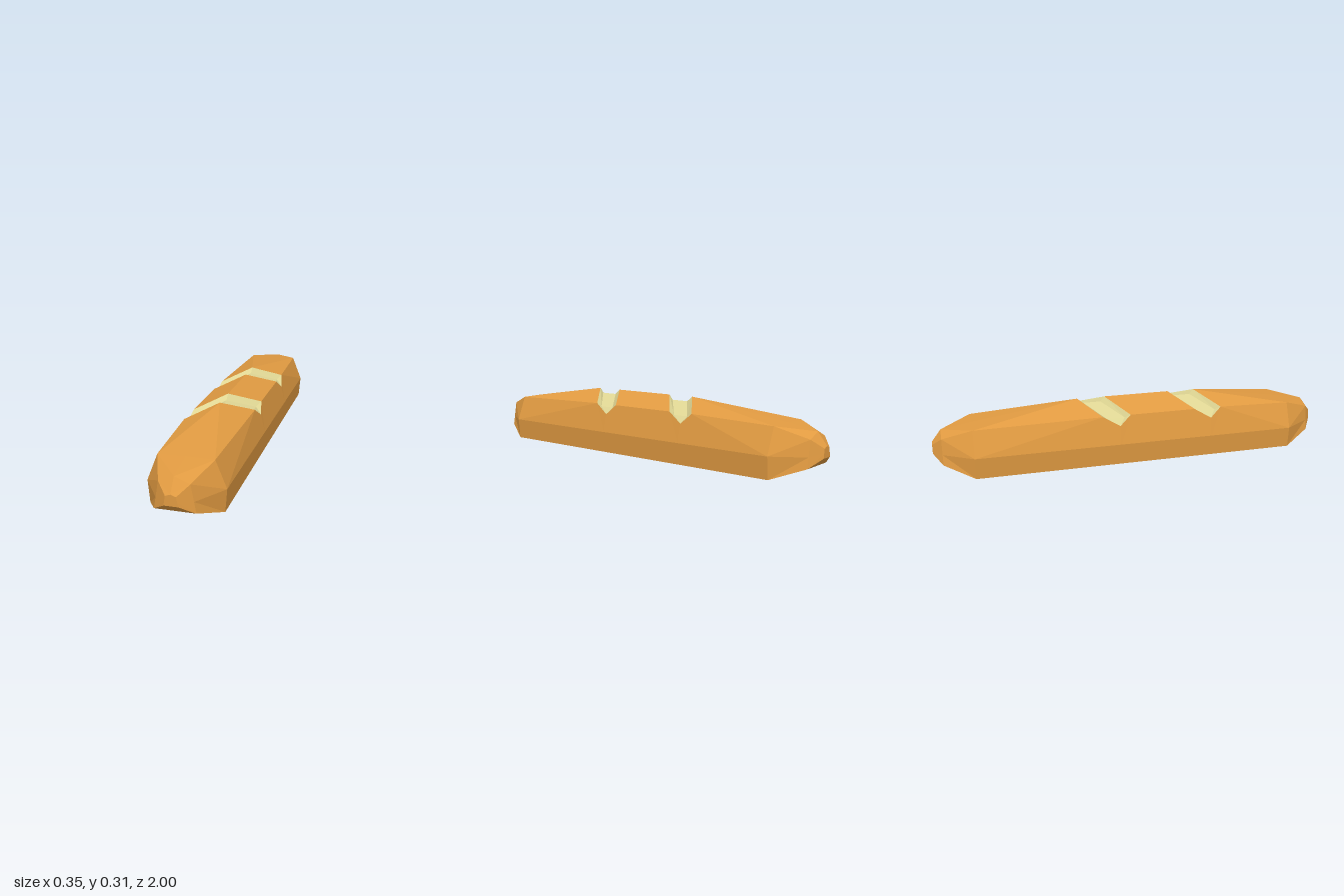
import * as THREE from 'three';

const crust = new THREE.MeshStandardMaterial({ color: 0xe09a41, flatShading: true });
crust.name = 'crust';
const crumb = new THREE.MeshStandardMaterial({ color: 0xded593, flatShading: true });
crumb.name = 'crumb';

// Collects flat triangles and quads, counter-clockwise from outside
function faceBuilder() {
  const out = [];
  const tri = (...pts) => pts.forEach((p) => out.push(...p));
  // Quads fold along their outer diagonal so the loaf stays convex
  const r = (p, q) => Math.hypot((p[0] + q[0]) / 2, (p[1] + q[1]) / 2 - 0.12);
  const quad = (a, b, c, d) => {
    if (r(a, c) >= r(b, d)) { tri(a, b, c); tri(a, c, d); }
    else { tri(a, b, d); tri(b, c, d); }
  };
  const mesh = (name, material) => {
    const g = new THREE.BufferGeometry();
    g.setAttribute('position', new THREE.Float32BufferAttribute(out, 3));
    g.computeVertexNormals();
    const m = new THREE.Mesh(g, material);
    m.name = name;
    return m;
  };
  return { tri, quad, mesh };
}

// Cross-section: bottom, middle and shoulder as [x, y], ridge height,
// and z at the right (+x), ridge and left (-x)
function ring(bottom, middle, shoulder, top, zR, zTop = zR, zL = zR) {
  const half = [bottom, middle, shoulder];
  return [
    ...half.map(([x, y]) => [x, y, zR]),
    [0, top, zTop],
    ...half.reverse().map(([x, y]) => [-x, y, zL]),
  ];
}

const BOTTOM = [0.166, 0], MIDDLE = [0.175, 0.105], SHOULDER = [0.142, 0.245];
const NOTCH = [0.155, 0.195], RIDGE = 0.305;
const CUTS = [0, -0.475];

const endRings = (s) => [
  ring([0.03, 0.097], [0.027, 0.118], [0.023, 0.14], 0.148, s),
  ring([0.09, 0.055], [0.081, 0.105], [0.068, 0.18], 0.207, s * 0.955),
  ring(BOTTOM, MIDDLE, [0.125, 0.23], 0.232, s * 0.81),
];

function makeLoaf() {
  const f = faceBuilder();
  const rings = [...endRings(1)];
  const open = new Set();
  for (const dz of CUTS) {
    open.add(rings.length).add(rings.length + 1);
    rings.push(
      ring(BOTTOM, MIDDLE, SHOULDER, RIDGE, 0.22 + dz, 0.33 + dz, 0.43 + dz),
      ring(BOTTOM, MIDDLE, NOTCH, RIDGE, 0.145 + dz, 0.26 + dz, 0.375 + dz),
      ring(BOTTOM, MIDDLE, SHOULDER, RIDGE, 0.09 + dz, 0.19 + dz, 0.29 + dz),
    );
  }
  rings.push(...endRings(-1).reverse());

  for (let i = 0; i < rings.length - 1; i++) {
    const a = rings[i], b = rings[i + 1];
    for (let j = 0; j < 7; j++) {
      if (open.has(i) && (j === 2 || j === 3)) continue; // roof is open at a cut
      const k = (j + 1) % 7;
      f.quad(a[j], b[j], b[k], a[k]);
    }
  }
  // Blunt end caps
  const first = rings[0], last = rings[rings.length - 1];
  for (let j = 1; j < 6; j++) {
    f.tri(first[0], first[j], first[j + 1]);
    f.tri(last[0], last[j + 1], last[j]);
  }
  return f.mesh('loaf', crust);
}

// Slanted groove: back wall, floor and front wall, pinched to a notch at each side
function makeCut(dz, name) {
  const f = faceBuilder();
  const station = (x, edgeY, floorX, floorY, zs) => zs.map((z, r) =>
    r === 0 || r === 3 ? [x, edgeY, z + dz] : [floorX, floorY, z + dz]);
  const tip = (s, z) => Array(4).fill([s * NOTCH[0], NOTCH[1], z + dz]);
  const [sx, sy] = SHOULDER;
  const columns = [
    tip(-1, 0.375),
    station(-sx, sy, -0.125, 0.228, [0.29, 0.313, 0.403, 0.43]),
    station(0, RIDGE, 0, 0.28, [0.19, 0.22, 0.31, 0.33]),
    station(sx, sy, 0.125, 0.228, [0.09, 0.128, 0.205, 0.22]),
    tip(1, 0.145),
  ];
  for (let c = 0; c < 4; c++) {
    const p = columns[c], q = columns[c + 1];
    for (let r = 0; r < 3; r++) {
      if (c === 0) f.tri(p[0], q[r + 1], q[r]);
      else if (c === 3) f.tri(p[r], p[r + 1], q[0]);
      else f.quad(p[r], p[r + 1], q[r + 1], q[r]);
    }
  }
  return f.mesh(name, crumb);
}

export function createModel() {
  const model = new THREE.Group();
  model.name = 'baguette';
  model.add(makeLoaf());
  CUTS.forEach((dz, i) => model.add(makeCut(dz, i ? 'backCut' : 'frontCut')));
  return model;
}
